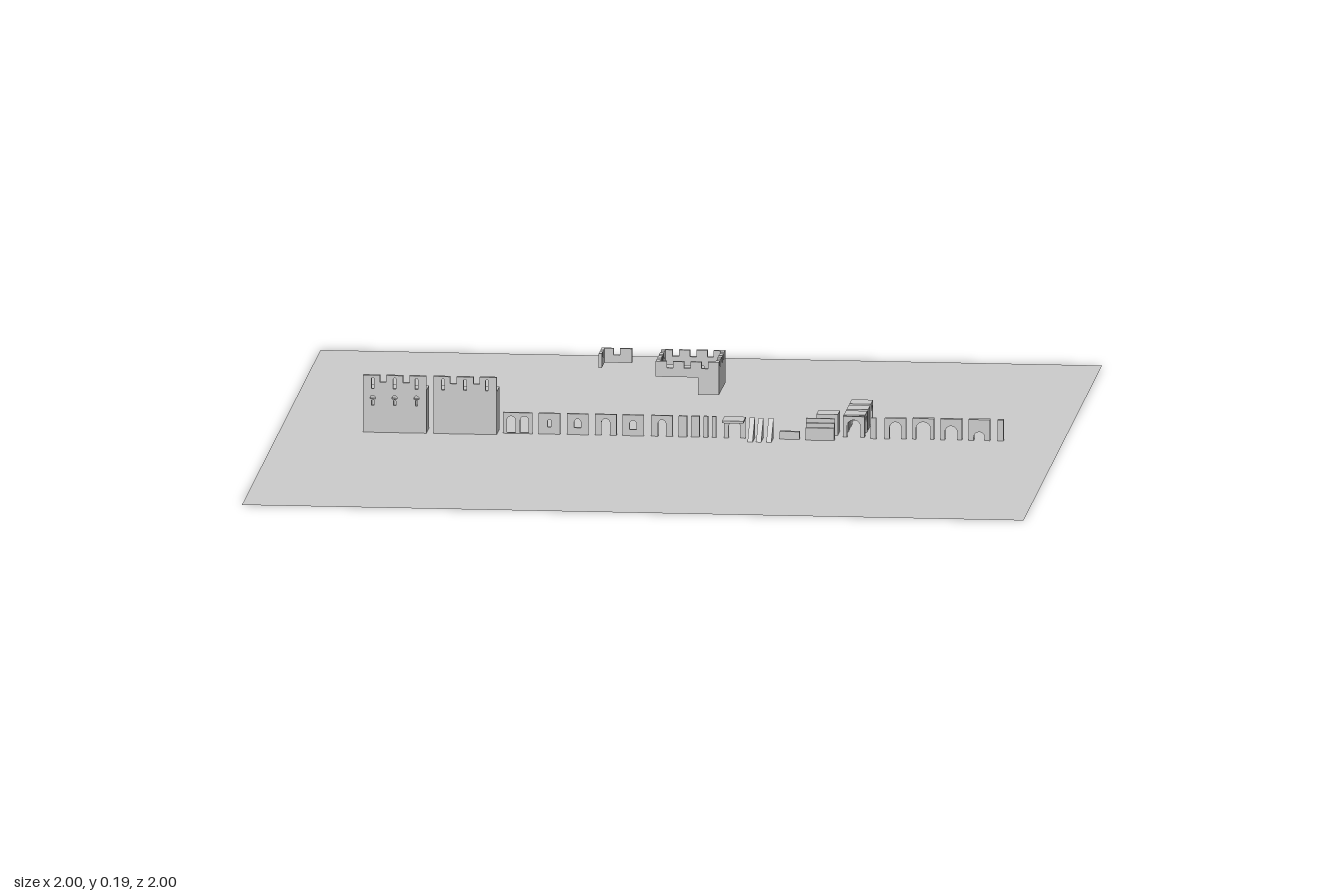
import * as THREE from 'three';

export function createModel() {
  const model = new THREE.Group();
  const mat = new THREE.MeshStandardMaterial({ color: 0xcccccc, flatShading: true, side: THREE.DoubleSide });

  const add = (name, geo, parent = model) => {
    const m = new THREE.Mesh(geo, mat);
    m.name = name;
    parent.add(m);
    return m;
  };
  // Box given by its limits on each axis
  const box = (name, x0, x1, y0, y1, z0, z1, parent) => {
    const m = add(name, new THREE.BoxGeometry(x1 - x0, y1 - y0, z1 - z0), parent);
    m.position.set((x0 + x1) / 2, (y0 + y1) / 2, (z0 + z1) / 2);
    return m;
  };
  const extrude = (shape, depth) =>
    new THREE.ExtrudeGeometry(shape, { depth, bevelEnabled: false, curveSegments: 8 });
  const poly = (pts) => new THREE.Shape(pts.map((p) => new THREE.Vector2(...p)));

  // Round-headed opening as a closed path
  const archHole = (cx, w, y0, y1) => {
    const p = new THREE.Path();
    p.moveTo(cx - w / 2, y0);
    p.lineTo(cx + w / 2, y0);
    p.lineTo(cx + w / 2, y1 - w / 2);
    p.absarc(cx, y1 - w / 2, w / 2, 0, Math.PI, false);
    p.closePath();
    return p;
  };
  // Wall panel outline with an optional doorway cut from its foot
  const doorShape = (w, h, dw, dh) => {
    const s = new THREE.Shape();
    s.moveTo(-w / 2, 0);
    s.lineTo(-dw / 2, 0);
    s.lineTo(-dw / 2, dh - dw / 2);
    s.absarc(0, dh - dw / 2, dw / 2, Math.PI, 0, true);
    s.lineTo(dw / 2, 0);
    s.lineTo(w / 2, 0);
    s.lineTo(w / 2, h);
    s.lineTo(-w / 2, h);
    s.closePath();
    return s;
  };
  const holed = (w, h, holes) => {
    const s = poly([[-w / 2, 0], [w / 2, 0], [w / 2, h], [-w / 2, h]]);
    s.holes.push(...holes);
    return s;
  };
  const panel = (name, x, z, shape, depth = 0.009) =>
    add(name, extrude(shape, depth)).position.set(x, 0, z - depth / 2);

  // Broad base sheet
  add('basePlane', new THREE.PlaneGeometry(2, 2).rotateX(-Math.PI / 2));

  // Crenellated outline of length len, notched at the top
  const crenels = (len, y0, yNotch, y1, count, gap) => {
    const pts = [[0, y0], [len, y0]];
    const w = (len - gap * (count - 1)) / count;
    for (let i = count - 1; i >= 0; i--) {
      const a = i * (w + gap);
      pts.push([a + w, yNotch], [a + w, y1], [a, y1], [a, yNotch]);
    }
    return poly(pts);
  };

  // Two thick curtain walls with a slitted parapet along the front
  [[-0.787, true], [-0.607, false]].forEach(([x0, lowerSlits]) => {
    const wall = new THREE.Group();
    wall.name = 'curtainWall';
    model.add(wall);
    const len = 0.162;
    box('wallBody', x0, x0 + len, 0, 0.11, -0.035, 0.026, wall);
    const s = crenels(len, 0, 0.13, 0.148, 3, 0.016);
    for (const cx of [0.025, 0.081, 0.137]) {
      s.holes.push(archHole(cx, 0.007, 0.113, 0.142));
      if (lowerSlits) {
        s.holes.push(archHole(cx, 0.006, 0.07, 0.085));
        s.holes.push(archHole(cx, 0.013, 0.087, 0.096));
      }
    }
    add('parapet', extrude(s, 0.012), wall).position.set(x0, 0, 0.026);
  });

  // Raised tower top: four battlemented sides, deeper at the right end
  const tower = new THREE.Group();
  tower.name = 'towerTop';
  model.add(tower);
  const x0 = -0.04, x1 = 0.122, z0 = -0.142, z1 = 0.018, t = 0.01;
  for (const z of [z0, z1 - t]) {
    add('battlement', extrude(crenels(x1 - x0, 0.155, 0.178, 0.195, 4, 0.016), t), tower).position.set(x0, 0, z);
    box('lowerWall', 0.068, x1, 0.11, 0.155, z, z + t, tower);
  }
  [[x0, 0.155], [x1 - t, 0.11]].forEach(([x, y]) => {
    const m = add('sideBattlement', extrude(crenels(z1 - z0, y, 0.178, 0.195, 4, 0.016), t), tower);
    m.rotation.y = -Math.PI / 2;
    m.position.set(x + t, 0, z0);
  });

  // Loose battlement corner
  const corner = new THREE.Group();
  corner.name = 'battlementCorner';
  model.add(corner);
  const cornerSide = () => extrude(crenels(0.078, 0.158, 0.178, 0.195, 2, 0.016), 0.008);
  add('cornerBack', cornerSide(), corner).position.set(-0.194, 0, -0.143);
  const side = add('cornerSide', cornerSide(), corner);
  side.rotation.y = -Math.PI / 2;
  side.position.set(-0.186, 0, -0.143);

  // Row of small wall panels
  const W = 0.055, H = 0.054, zRow = 0.013;
  panel('doubleArchPanel', -0.393, zRow,
    holed(0.075, H, [archHole(-0.017, 0.022, 0.002, 0.045), archHole(0.017, 0.022, 0.002, 0.045)]));
  panel('slitPanel', -0.312, zRow, holed(W, H, [archHole(0, 0.009, 0.018, 0.038)]));
  panel('windowPanel', -0.24, zRow, holed(W, H, [archHole(0, 0.017, 0.018, 0.041)]));
  panel('doorPanel', -0.168, zRow, doorShape(W, H, 0.022, 0.043));
  panel('windowPanel', -0.098, zRow, holed(W, H, [archHole(0, 0.017, 0.016, 0.04)]));
  panel('doorPanel', -0.024, zRow, doorShape(W, H, 0.02, 0.043));

  // Narrow wall strips and posts
  for (const [a, b] of [[0.019, 0.04], [0.051, 0.072], [0.083, 0.094], [0.104, 0.115]])
    box('wallPost', a, b, 0, H, zRow - 0.005, zRow + 0.005);

  // Landing on an arched wall
  panel('landingArch', 0.162, 0.016, doorShape(W, H, 0.03, 0.044));
  box('landingSlab', 0.135, 0.19, 0.048, H, 0.012, 0.07);

  // Sloping stair cheeks
  const cheek = poly([[0, 0], [0.057, 0], [0, 0.052]]);
  for (const x of [0.2, 0.222, 0.248]) {
    const m = add('stairCheek', extrude(cheek, 0.013));
    m.rotation.y = -Math.PI / 2;
    m.position.set(x + 0.013, 0, 0.011);
  }

  // Low kerb and stepped block
  box('kerb', 0.278, 0.328, 0, 0.02, 0.011, 0.023);
  [0.054, 0.043, 0.032].forEach((h, i) =>
    box('step', 0.345, 0.418, 0, h, 0.008 + i * 0.007, 0.015 + i * 0.007));

  // Square bays: roof slab over arched or solid sides
  const bay = (cx, cz, openX, openZ) => {
    const g = new THREE.Group();
    g.name = 'archedBay';
    g.position.set(cx, 0, cz);
    model.add(g);
    const face = (open) => extrude(open ? doorShape(W, H, 0.04, 0.045) : holed(W, H, []), 0.006);
    for (const s of [-1, 1]) {
      add('bayFront', face(openZ), g).position.z = s * 0.0245 - 0.003;
      const m = add('baySide', face(openX), g);
      m.rotation.y = Math.PI / 2;
      m.position.x = s * 0.0245 - 0.003;
    }
    box('bayRoof', -W / 2, W / 2, 0.047, H, -W / 2, W / 2, g);
  };
  bay(0.393, -0.067, false, true);
  bay(0.463, -0.067, true, true);
  bay(0.463, -0.138, false, true);
  bay(0.463, -0.21, true, true);
  panel('archPanel', 0.463, -0.023, doorShape(W, H, 0.034, 0.045));

  // Right-hand row of thicker panels
  box('halfPost', 0.507, 0.522, 0, H, -0.014, -0.006);
  panel('archPanel', 0.571, -0.013, doorShape(W, H, 0.03, 0.044), 0.01);
  panel('wideArchPanel', 0.642, -0.018, doorShape(W, H, 0.038, 0.045), 0.016);
  panel('archPanel', 0.713, -0.018, doorShape(W, H, 0.032, 0.036), 0.016);
  panel('lowArchPanel', 0.785, -0.018, doorShape(W, H, 0.028, 0.022), 0.016);
  box('endPost', 0.832, 0.847, 0, H, -0.026, -0.01);

  return model;
}
